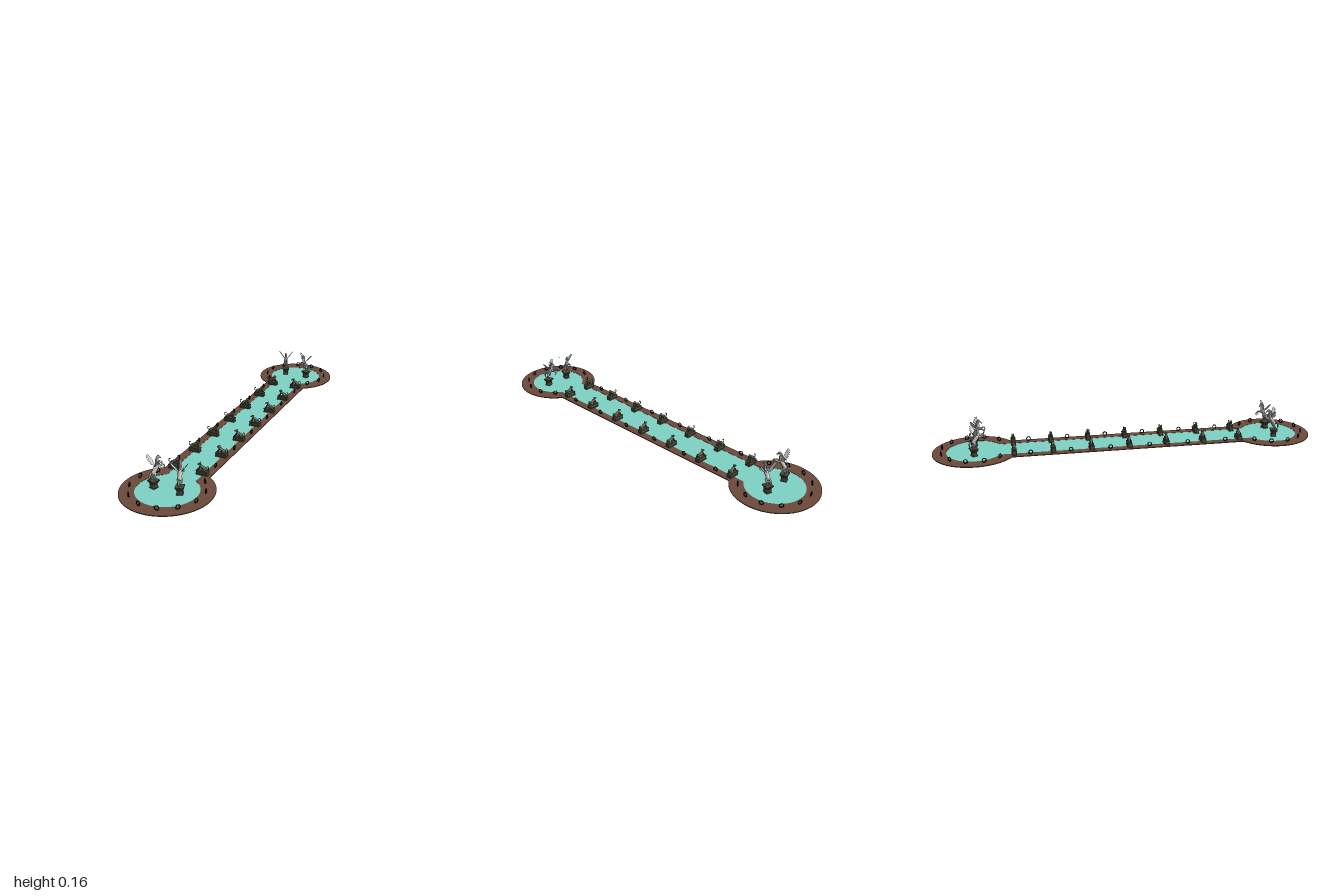
import * as THREE from 'three';

const mat = (color, extra = {}) => new THREE.MeshStandardMaterial({ color, ...extra });
const mats = {
  rim: mat(0x6b4a3c), water: mat(0x7fd4c6), ring: mat(0x0c0c0c),
  stone: mat(0x4c4c3c), beast: mat(0x686852), horse: mat(0xcccccc),
  wing: mat(0xcccccc, { side: THREE.DoubleSide }),
};
const END = 0.785; // distance of each round basin from the middle

function add(parent, name, geo, material, x = 0, y = 0, z = 0) {
  const m = new THREE.Mesh(geo, material);
  m.name = name;
  m.position.set(x, y, z);
  parent.add(m);
  return m;
}

// Tapered tube along a curve; each point is [x, y, z, radius]
function taper(points, segs = 14, sides = 8) {
  const curve = new THREE.CatmullRomCurve3(points.map(p => new THREE.Vector3(p[0], p[1], p[2])));
  const geo = new THREE.TubeGeometry(curve, segs, 1, sides);
  const pos = geo.attributes.position, v = new THREE.Vector3();
  for (let i = 0; i <= segs; i++) {
    const t = curve.getUtoTmapping(i / segs) * (points.length - 1);
    const k = Math.min(Math.floor(t), points.length - 2);
    const r = THREE.MathUtils.lerp(points[k][3], points[k + 1][3], t - k);
    const c = curve.getPointAt(i / segs);
    for (let j = 0; j <= sides; j++) {
      const n = i * (sides + 1) + j;
      v.fromBufferAttribute(pos, n).sub(c).multiplyScalar(r).add(c);
      pos.setXYZ(n, v.x, v.y, v.z);
    }
  }
  geo.computeVertexNormals();
  return geo;
}

function ball(parent, name, material, [x, y, z], [a, b, c]) {
  const m = add(parent, name, new THREE.SphereGeometry(1, 12, 8), material, x, y, z);
  m.scale.set(a, b, c);
  return m;
}

// Two round basins joined by a straight channel
function outline(r, w, Type = THREE.Shape) {
  const a = Math.asin(w / r), s = new Type(), h = Math.PI / 2;
  s.absarc(0, END, r, -h + a, 3 * h - a, false);
  s.absarc(0, -END, r, h + a, 5 * h - a, false);
  s.closePath();
  return s;
}

function slab(shape, y, depth) {
  const g = new THREE.ExtrudeGeometry(shape, { depth, bevelEnabled: false, curveSegments: 48 });
  return g.rotateX(-Math.PI / 2).translate(0, y, 0);
}

// Feathered wing: span along x, trailing feathers towards -y
function wingGeometry(side) {
  const s = new THREE.Shape();
  s.moveTo(0, 0.004);
  s.quadraticCurveTo(0.025, 0.014, 0.062, 0.002);
  for (let i = 0; i < 6; i++) {
    const x = 0.056 - i * 0.009;
    s.lineTo(x, -0.012 - 0.006 * Math.sin(i * 0.6));
    s.lineTo(x - 0.003, -0.006);
  }
  s.closePath();
  const g = new THREE.ShapeGeometry(s, 10);
  const span = new THREE.Vector3(side * 0.62, 0.78, -0.1).normalize();
  const chord = new THREE.Vector3(side * 0.12, 0.1, 1).normalize();
  const m = new THREE.Matrix4().makeBasis(span, chord, span.clone().cross(chord).normalize());
  return g.applyMatrix4(m).translate(side * 0.004, 0.106, 0.012);
}

// Rearing winged horse on a flared square pedestal, facing +z
function wingedHorse() {
  const g = new THREE.Group();
  g.name = 'wingedHorseStatue';
  const tier = (r1, r2, y0, y1) => add(g, 'pedestal',
    new THREE.CylinderGeometry(r2 * Math.SQRT2, r1 * Math.SQRT2, y1 - y0, 4).rotateY(Math.PI / 4),
    mats.stone, 0, (y0 + y1) / 2, 0).material = mats.stone;
  tier(0.0145, 0.0145, 0, 0.008);
  tier(0.0125, 0.0125, 0.008, 0.026);
  tier(0.0125, 0.018, 0.026, 0.038);
  tier(0.0195, 0.0195, 0.038, 0.044);
  const part = (name, pts) => add(g, name, taper(pts), mats.horse);
  part('body', [[0, 0.068, -0.004, 0.001], [0, 0.075, 0.0, 0.010], [0, 0.09, 0.011, 0.010],
    [0, 0.105, 0.022, 0.0115], [0, 0.114, 0.03, 0.001]]);
  part('neck', [[0, 0.102, 0.023, 0.010], [0, 0.12, 0.027, 0.0075], [0, 0.137, 0.028, 0.0055],
    [0, 0.148, 0.032, 0.004], [0, 0.151, 0.035, 0.0005]]);
  part('head', [[0, 0.151, 0.028, 0.0005], [0, 0.148, 0.033, 0.005], [0, 0.141, 0.041, 0.0035],
    [0, 0.136, 0.046, 0.003], [0, 0.134, 0.048, 0.0005]]);
  part('mane', [[0, 0.152, 0.029, 0.0008], [0, 0.143, 0.022, 0.003], [0, 0.128, 0.018, 0.004],
    [0, 0.112, 0.013, 0.0005]]);
  part('tail', [[0, 0.078, -0.006, 0.002], [0, 0.078, -0.015, 0.004], [0, 0.063, -0.021, 0.0045],
    [0, 0.047, -0.017, 0.0005]]);
  for (const s of [-1, 1]) {
    part('hindLeg', [[s * 0.005, 0.082, 0.001, 0.003], [s * 0.0075, 0.072, 0.006, 0.0075],
      [s * 0.008, 0.063, 0.003, 0.004], [s * 0.008, 0.055, -0.006, 0.0028],
      [s * 0.008, 0.047, -0.001, 0.0028], [s * 0.008, 0.044, 0.003, 0.003]]);
    part('foreLeg', [[s * 0.004, 0.105, 0.024, 0.004], [s * 0.007, 0.104, 0.036, 0.005],
      [s * 0.0075, 0.107 + s * 0.005, 0.054, 0.0033], [s * 0.0075, 0.098 + s * 0.005, 0.06, 0.0022],
      [s * 0.0075, 0.09 + s * 0.005, 0.056, 0.0028], [s * 0.0075, 0.087 + s * 0.005, 0.057, 0.0005]]);
    add(g, 'ear', new THREE.ConeGeometry(0.0016, 0.007, 5), mats.horse, s * 0.003, 0.153, 0.031);
    add(g, 'wing', wingGeometry(s), mats.wing);
  }
  return g;
}

// Seated guardian beast on a stepped block, facing +z
function guardian() {
  const g = new THREE.Group();
  g.name = 'guardianStatue';
  const steps = [[0.026, 0.058, 0.004, 0.009], [0.022, 0.054, 0.009, 0.021], [0.025, 0.057, 0.021, 0.026]];
  for (const [w, l, y0, y1] of steps)
    add(g, 'block', new THREE.BoxGeometry(w, y1 - y0, l), mats.stone, 0, (y0 + y1) / 2, 0);
  const part = (name, pts) => add(g, name, taper(pts, 10, 7), mats.beast);
  part('body', [[0, 0.029, -0.022, 0.001], [0, 0.035, -0.015, 0.008], [0, 0.041, -0.003, 0.0075],
    [0, 0.047, 0.007, 0.0075], [0, 0.055, 0.013, 0.001]]);
  ball(g, 'head', mats.beast, [0, 0.055, 0.013], [0.0065, 0.0065, 0.0075]);
  ball(g, 'muzzle', mats.beast, [0, 0.053, 0.021], [0.004, 0.0035, 0.004]);
  part('tail', [[0, 0.03, -0.022, 0.002], [0, 0.036, -0.031, 0.002], [0, 0.046, -0.031, 0.002],
    [0, 0.05, -0.025, 0.0025], [0, 0.047, -0.022, 0.0005]]);
  for (const s of [-1, 1]) {
    ball(g, 'haunch', mats.beast, [s * 0.007, 0.033, -0.013], [0.0045, 0.0075, 0.009]);
    ball(g, 'hindPaw', mats.beast, [s * 0.008, 0.028, -0.003], [0.003, 0.0025, 0.006]);
    part('foreLeg', [[s * 0.005, 0.047, 0.01, 0.003], [s * 0.006, 0.037, 0.015, 0.003],
      [s * 0.006, 0.028, 0.018, 0.0025], [s * 0.006, 0.027, 0.023, 0.002]]);
    add(g, 'ear', new THREE.ConeGeometry(0.0022, 0.008, 5), mats.beast, s * 0.0045, 0.062, 0.01);
  }
  return g;
}

// Upright toothed ring, its axis along z
function beadedRing() {
  const g = new THREE.Group();
  g.name = 'beadedRing';
  add(g, 'hoop', new THREE.TorusGeometry(0.0095, 0.0022, 6, 24), mats.ring);
  for (let i = 0; i < 12; i++) {
    const a = i * Math.PI / 6;
    add(g, 'bead', new THREE.OctahedronGeometry(0.0032), mats.ring,
      Math.cos(a) * 0.0103, Math.sin(a) * 0.0103, 0).rotation.z = a;
  }
  return g;
}

export function createModel() {
  const model = new THREE.Group();
  model.name = 'fountainPool';
  const place = (obj, x, y, z, yaw) => {
    obj.position.set(x, y, z);
    obj.rotation.y = yaw;
    model.add(obj);
  };

  // Paved rim and water
  const rim = outline(0.215, 0.117);
  rim.holes.push(outline(0.145, 0.075, THREE.Path));
  add(model, 'rim', slab(rim, 0.002, 0.004), mats.rim);
  add(model, 'water', slab(outline(0.1455, 0.0755), 0.0025, 0.0025), mats.water);

  for (const sx of [-1, 1]) {
    // Statues and rings around the round ends
    for (const sz of [-1, 1]) {
      place(wingedHorse(), sx * 0.066, 0, sz * 0.79, Math.atan2(-sx * 0.31, -sz * 0.95));
      for (let k = 0; k < 5; k++) {
        const a = (15 + 30 * k) * Math.PI / 180;
        const x = sx * Math.sin(a), z = sz * Math.cos(a);
        place(beadedRing(), x * 0.173, 0.018, z * 0.173 + sz * END, Math.atan2(x, z));
      }
    }
    // Guardians along the channel, with rings between them
    for (let i = -3; i <= 3; i++)
      place(guardian(), sx * 0.072, 0, i * 0.197, -sx * Math.PI / 2);
    for (let i = 0; i < 6; i++)
      place(beadedRing(), sx * 0.098, 0.018, (i - 2.5) * 0.204, Math.PI / 2);
  }
  return model;
}
